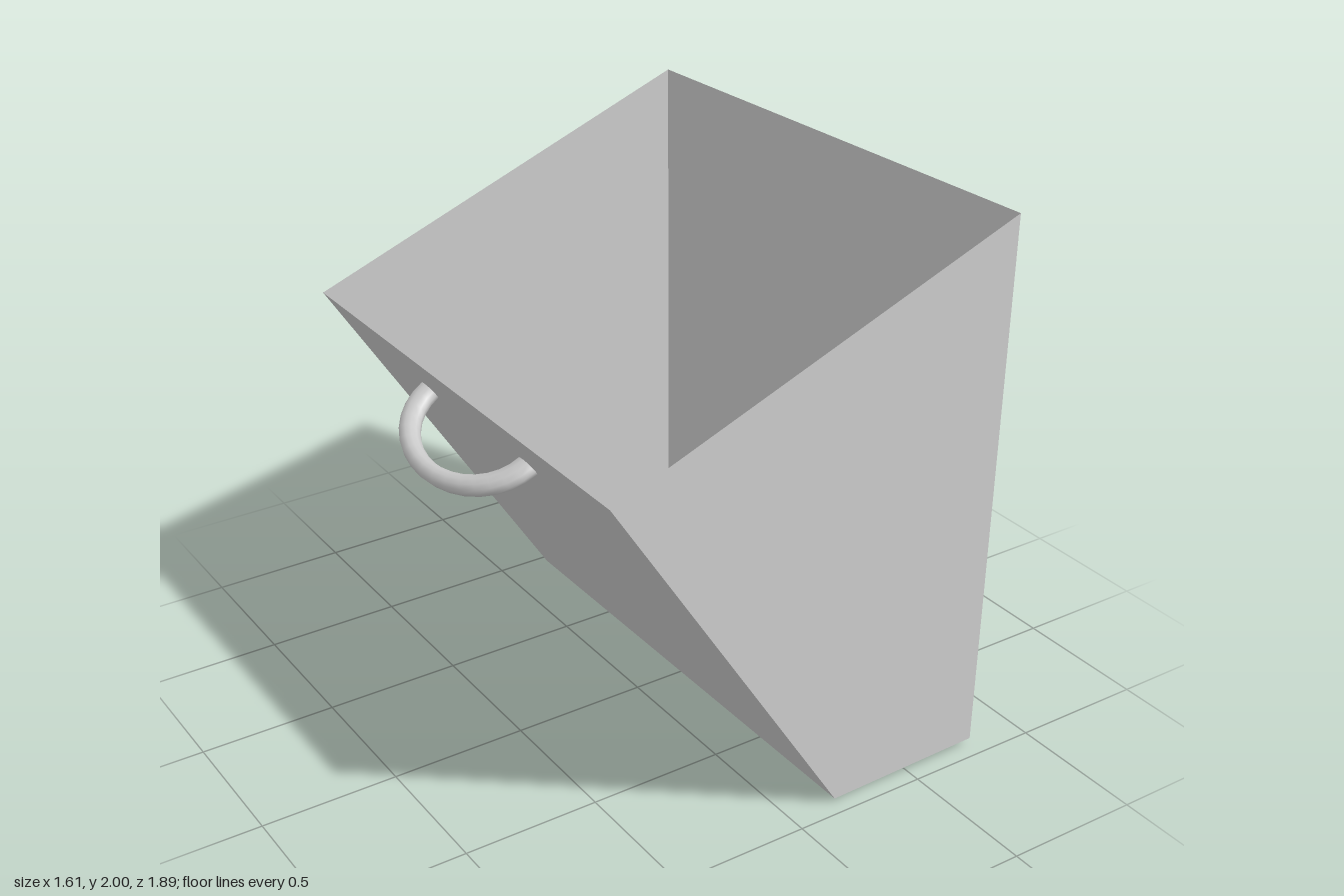
import * as THREE from 'three';

// Open, thin-walled bin with a slanted side and a curved handle.
const material = new THREE.MeshStandardMaterial({
  color: 0xcccccc, side: THREE.DoubleSide, flatShading: true,
});
const handleMaterial = new THREE.MeshStandardMaterial({ color: 0xcccccc, side: THREE.DoubleSide });

// One thin four-cornered panel; corners run anticlockwise seen from outside.
function panel(name, a, b, c, d) {
  const geometry = new THREE.BufferGeometry();
  geometry.setAttribute('position',
    new THREE.Float32BufferAttribute([a, b, c, a, c, d].flat(), 3));
  geometry.computeVertexNormals();
  const mesh = new THREE.Mesh(geometry, material);
  mesh.name = name;
  return mesh;
}

export function createModel() {
  const group = new THREE.Group();
  group.name = 'bin';

  // Outline corners: rim low, rim high, base outer, base inner
  const depth = 0.945;
  const [lowF, highF, outerF, innerF] =
    [[-0.715, 1.41], [0.80, 2.0], [0.782, 0.03], [0.18, 0.015]].map(p => [...p, depth]);
  const [lowB, highB, outerB, innerB] =
    [[-0.715, 1.41], [0.757, 1.975], [0.777, 0], [0.18, 0.015]].map(p => [...p, -depth]);

  group.add(
    panel('frontWall', innerF, outerF, highF, lowF),
    panel('backWall', outerB, innerB, lowB, highB),
    panel('uprightWall', outerF, outerB, highB, highF),
    panel('slantedWall', innerB, innerF, lowF, lowB),
    panel('floor', innerB, outerB, outerF, innerF),
  );

  // Half-ring handle, flattened and tilted down, standing off the slanted wall
  const handle = new THREE.Mesh(new THREE.TorusGeometry(0.33, 0.05, 12, 16, Math.PI), handleMaterial);
  handle.name = 'handle';
  const along = new THREE.Vector3(0, 0, 1);
  const outward = new THREE.Vector3(-Math.cos(Math.PI / 6), -0.5, 0);
  const across = along.clone().cross(outward);
  handle.quaternion.setFromRotationMatrix(new THREE.Matrix4().makeBasis(along, outward, across));
  handle.scale.set(1, 0.667, 0.667);
  handle.position.set(-0.587, 1.215, -0.07);
  group.add(handle);

  return group;
}
